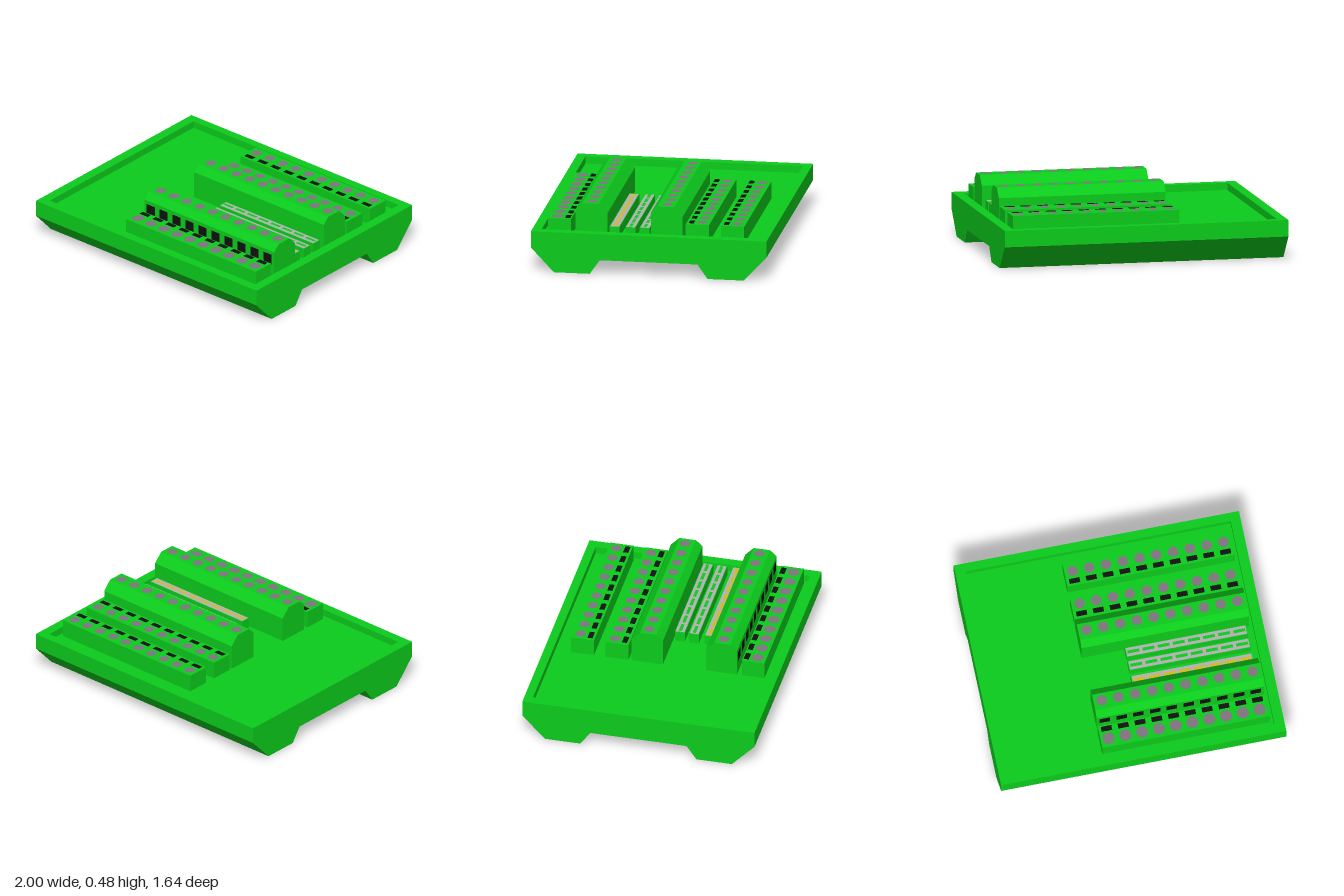
import * as THREE from 'three';

const paint = (color) => new THREE.MeshStandardMaterial({ color });
const green = paint(0x0ccc1c);
const grey = paint(0x7d757d);
const black = paint(0x101010);
const silver = paint(0xb4b0b4);
const yellow = paint(0xd0bc20);

const FLOOR = 0.235, RIM = 0.285;
const X0 = -0.27, X1 = 0.905; // ends of the terminal rows
const COUNT = 10, FIRST = -0.213, STEP = 0.1176;

function add(parent, name, geometry, material, x = 0, y = 0, z = 0) {
  const mesh = new THREE.Mesh(geometry, material);
  mesh.name = name;
  mesh.position.set(x, y, z);
  parent.add(mesh);
  return mesh;
}

// Extrudes a [z, y] outline along x from x0 to x1
function prism(outline, x0, x1) {
  const shape = new THREE.Shape(outline.map(([z, y]) => new THREE.Vector2(-z, y)));
  const geometry = new THREE.ExtrudeGeometry(shape, { depth: x1 - x0, bevelEnabled: false });
  return geometry.rotateY(Math.PI / 2).translate(x0, 0, 0);
}

// Flat rectangle facing up
const plate = (w, d) => new THREE.PlaneGeometry(w, d).rotateX(-Math.PI / 2);

function screwRow(parent, y, z, radius) {
  const disc = new THREE.CircleGeometry(radius, 24).rotateX(-Math.PI / 2);
  for (let i = 0; i < COUNT; i++) add(parent, 'screw', disc, grey, FIRST + i * STEP, y + 0.002, z);
}

function lowTerminal(name, z0, z1, screwZ, slotZ, radius) {
  const group = new THREE.Group();
  group.name = name;
  const top = 0.357;
  add(group, 'terminalBody', prism([[z0, FLOOR], [z0, top], [z1, top], [z1, FLOOR]], X0, X1), green);
  screwRow(group, top, screwZ, radius);
  const slot = plate(0.074, 0.036);
  for (let i = 0; i < COUNT; i++) add(group, 'wireSlot', slot, black, FIRST + i * STEP, top + 0.002, slotZ);
  return group;
}

function tallTerminal(name, back, front, hasOpenings) {
  const group = new THREE.Group();
  group.name = name;
  const top = 0.474;
  const outline = [[front, FLOOR], [front, 0.43], [front - 0.045, top],
    [back + 0.06, top], [back, 0.41], [back, FLOOR]];
  add(group, 'terminalBody', prism(outline, X0, X1), green);
  screwRow(group, top, back + 0.113, 0.037);
  if (hasOpenings) {
    const opening = new THREE.PlaneGeometry(0.074, 0.075);
    for (let i = 0; i < COUNT; i++) {
      add(group, 'wireOpening', opening, black, FIRST + i * STEP, 0.366, front + 0.002);
    }
  }
  return group;
}

function header(name, z, pinMaterial) {
  const group = new THREE.Group();
  group.name = name;
  const top = 0.309, cx = 0.455;
  add(group, 'headerBody', new THREE.BoxGeometry(0.85, top - FLOOR, 0.07), green, cx, (top + FLOOR) / 2, z);
  add(group, 'headerFace', plate(0.84, 0.062), silver, cx, top + 0.001, z);
  const pin = plate(0.083, 0.022);
  for (let i = 0; i < 8; i++) add(group, 'contact', pin, pinMaterial, 0.084 + i * 0.106, top + 0.003, z);
  return group;
}

export function createModel() {
  const model = new THREE.Group();
  model.name = 'terminalBoard';

  // Base with two sloped feet and a channel between them
  const half = [[0.82, FLOOR], [0.82, 0.17], [0.66, 0], [0.41, 0], [0.34, 0.1]];
  const mirrored = half.map(([z, y]) => [-z, y]).reverse();
  add(model, 'base', prism([...half, ...mirrored], -1, 1), green);

  // Raised rim around the tray
  const rect = (path, x0, y0, x1, y1) =>
    path.moveTo(x0, y0).lineTo(x1, y0).lineTo(x1, y1).lineTo(x0, y1).closePath();
  const rim = rect(new THREE.Shape(), -1, -0.82, 1, 0.82);
  rim.holes.push(rect(new THREE.Path(), -0.93, -0.755, 0.93, 0.76));
  const rimGeometry = new THREE.ExtrudeGeometry(rim, { depth: RIM - FLOOR, bevelEnabled: false });
  add(model, 'rim', rimGeometry.rotateX(-Math.PI / 2), green, 0, FLOOR, 0);

  // Terminal rows from front to back
  model.add(
    lowTerminal('frontLowTerminal', 0.557, 0.717, 0.657, 0.583, 0.042),
    tallTerminal('frontTallTerminal', 0.303, 0.523, true),
    tallTerminal('middleTallTerminal', -0.222, 0, false),
    lowTerminal('middleLowTerminal', -0.405, -0.243, -0.35, -0.277, 0.037),
    lowTerminal('backLowTerminal', -0.65, -0.487, -0.593, -0.52, 0.037),
  );

  // Pin headers between the tall rows
  model.add(
    header('frontHeader', 0.257, yellow),
    header('middleHeader', 0.147, green),
    header('backHeader', 0.048, green),
  );
  return model;
}
